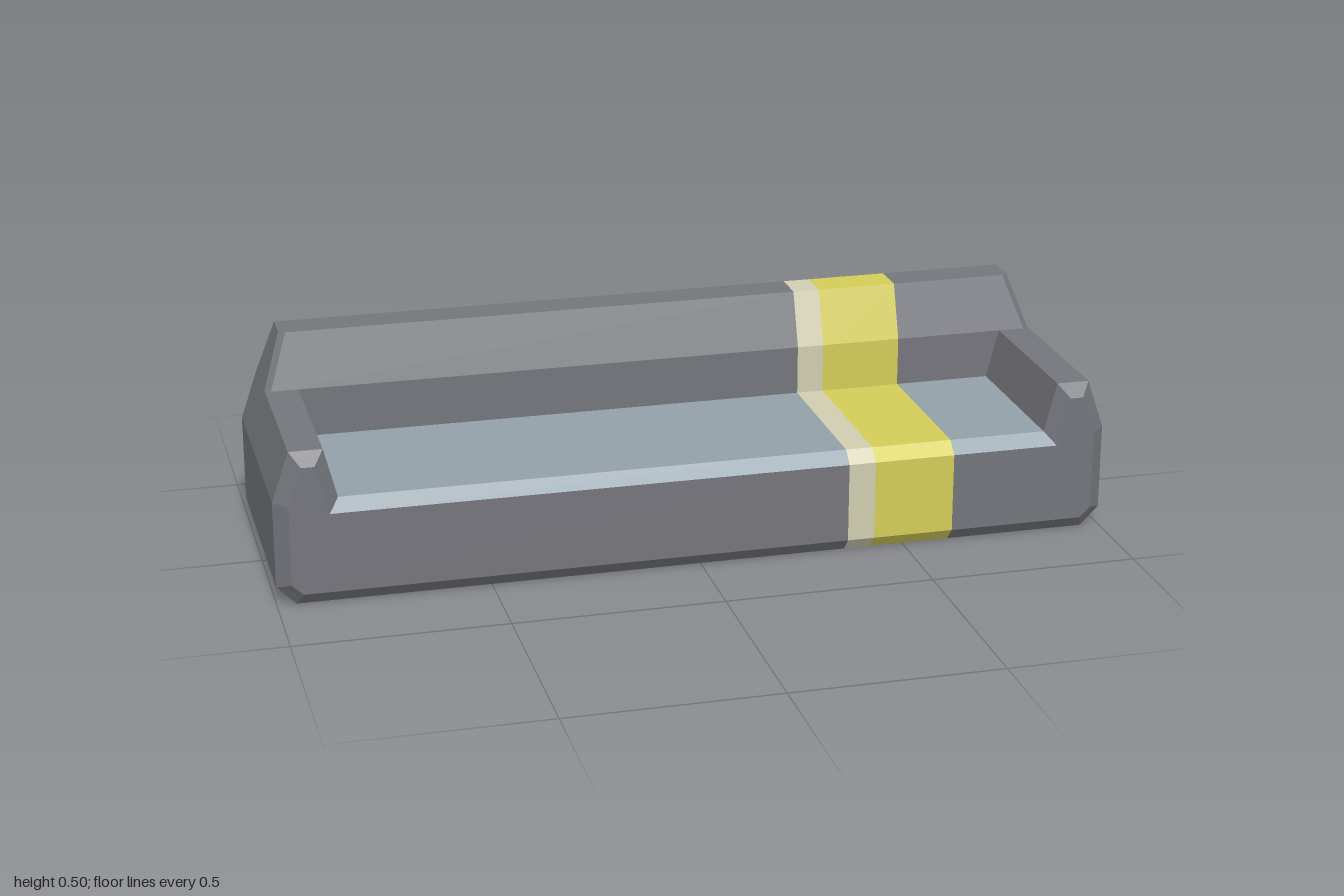
import * as THREE from 'three';

const material = (name, color) => Object.assign(new THREE.MeshStandardMaterial({ color, flatShading: true }), { name });

export function createModel() {
  const parts = {
    frame: { mat: material('grey shell', 0x74757b), pos: [] },
    seat: { mat: material('blue grey seat', 0x92a0a8), pos: [] },
    wideStripe: { mat: material('yellow', 0xd3cb58), pos: [] },
    narrowStripe: { mat: material('cream', 0xd0cdb0), pos: [] },
  };

  // Adds a convex polygon as a triangle fan
  const poly = (part, pts) => {
    for (let i = 1; i < pts.length - 1; i++) parts[part].pos.push(...pts[0], ...pts[i], ...pts[i + 1]);
  };
  // Adds a frame polygon on both ends
  const both = (pts) => {
    poly('frame', pts);
    poly('frame', pts.map(([x, y, z]) => [-x, y, z]).reverse());
  };

  // Lengthwise bands: [part, z, y, half width] to [z, y, half width]
  const bands = [
    ['frame', -0.3, 0, 0.955, 0.27, 0, 0.955], // underside
    ['frame', 0.27, 0, 0.955, 0.3, 0.033, 0.941], // lower front bevel
    ['frame', 0.3, 0.033, 0.941, 0.3, 0.225, 0.874], // front
    ['seat', 0.3, 0.225, 0.874, 0.27, 0.253, 0.85], // seat edge
    ['seat', 0.27, 0.253, 0.85, -0.135, 0.253, 0.85], // seat
    ['frame', -0.135, 0.253, 0.85, -0.135, 0.372, 0.88], // lower backrest
    ['frame', -0.135, 0.372, 0.945, -0.18, 0.502, 0.9], // sloped backrest
    ['frame', -0.18, 0.502, 0.9, -0.267, 0.502, 0.915], // backrest top
    ['frame', -0.267, 0.502, 0.915, -0.3, 0.372, 0.959], // rear slope
    ['frame', -0.3, 0.372, 0.959, -0.3, 0, 0.955], // rear
  ];
  for (const [part, z0, y0, w0, z1, y1, w1] of bands) {
    const a = [-w0, 0.355, 0.42, 0.615, w0];
    const b = [-w1, 0.355, 0.42, 0.615, w1];
    [part, 'narrowStripe', 'wideStripe', part].forEach((name, i) => poly(name, [
      [a[i], y0, z0], [a[i + 1], y0, z0], [b[i + 1], y1, z1], [b[i], y1, z1],
    ]));
  }

  // Armrest outline and its inset front face
  const outer = [[0.955, 0], [1, 0.045], [1, 0.253], [0.959, 0.372], [0.88, 0.372], [0.85, 0.253]];
  const inner = [[0.941, 0.033], [0.967, 0.058], [0.967, 0.248], [0.935, 0.342], [0.904, 0.342], [0.874, 0.225]];
  const at = ([x, y], z) => [x, y, z];

  both(inner.map((p) => at(p, 0.3)));
  for (let i = 0; i < 5; i++) {
    const p = outer[i], q = outer[i + 1];
    both([at(p, 0.27), at(q, 0.27), at(inner[i + 1], 0.3), at(inner[i], 0.3)]);
    const back = i === 4 ? -0.135 : -0.3;
    if (i !== 3) both([at(p, 0.27), at(p, back), at(q, back), at(q, 0.27)]);
  }

  // Armrest top
  both([[0.88, 0.372, -0.135], [0.88, 0.372, 0.27], [0.959, 0.372, 0.27], [0.959, 0.372, -0.147], [0.945, 0.372, -0.135]]);
  // Rear corners
  both(outer.slice(0, 4).reverse().map((p) => at(p, -0.3)));
  // Backrest end, its front chamfer and the corner of its top
  both([[0.959, 0.372, -0.147], [0.959, 0.372, -0.3], [0.915, 0.502, -0.267], [0.915, 0.502, -0.192]]);
  both([[0.945, 0.372, -0.135], [0.959, 0.372, -0.147], [0.915, 0.502, -0.192], [0.9, 0.502, -0.18]]);
  both([[0.9, 0.502, -0.18], [0.915, 0.502, -0.192], [0.915, 0.502, -0.267]]);

  const group = new THREE.Group();
  group.name = 'bench';
  for (const [name, { mat, pos }] of Object.entries(parts)) {
    const geometry = new THREE.BufferGeometry();
    geometry.setAttribute('position', new THREE.Float32BufferAttribute(pos, 3));
    geometry.computeVertexNormals();
    const mesh = new THREE.Mesh(geometry, mat);
    mesh.name = name;
    group.add(mesh);
  }
  return group;
}
